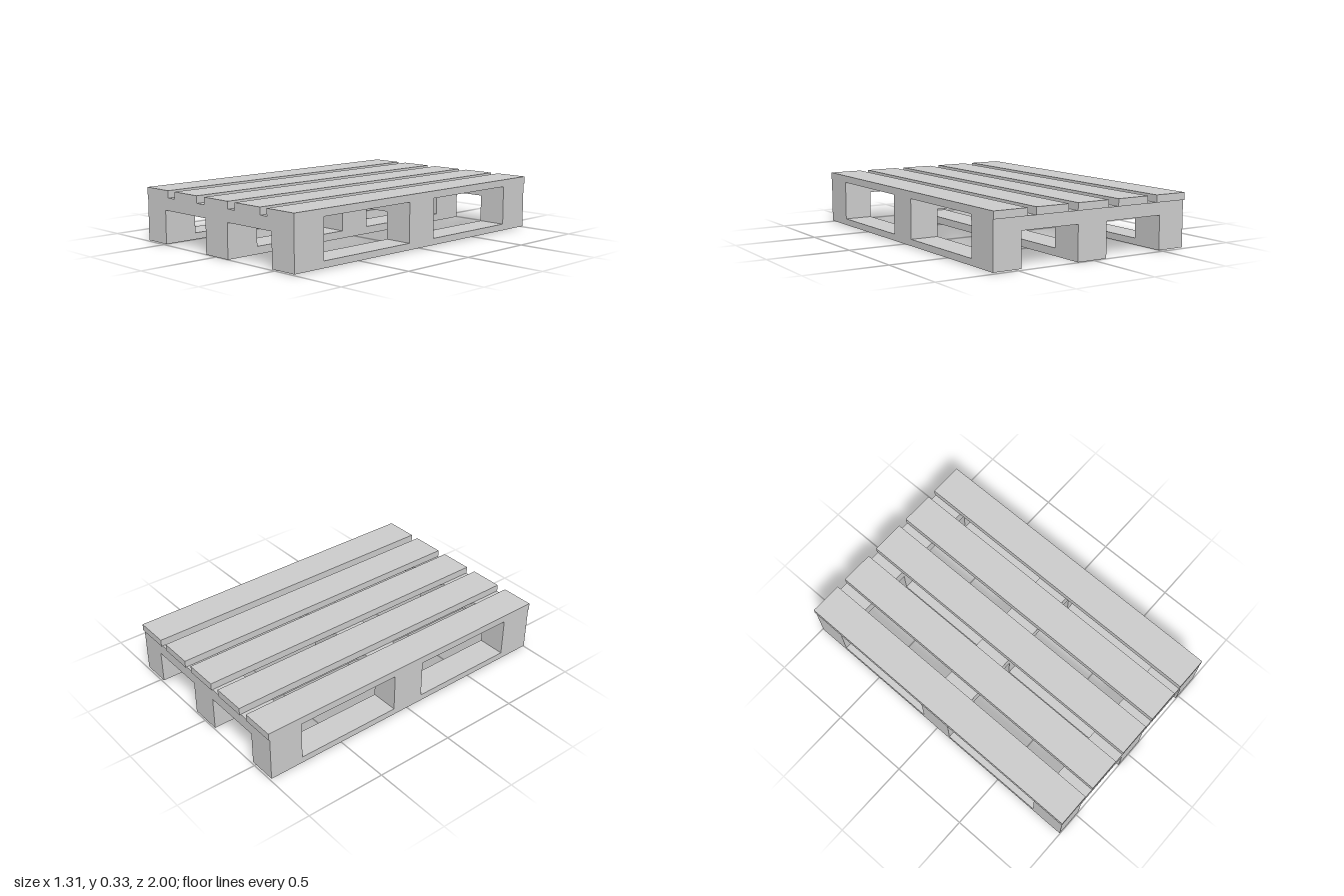
import * as THREE from 'three';

const material = new THREE.MeshStandardMaterial({ color: 0xcccccc, flatShading: true });

// Box given by its [min, max] range on each axis
function addBox(parent, name, [x0, x1], [y0, y1], [z0, z1]) {
  const mesh = new THREE.Mesh(new THREE.BoxGeometry(x1 - x0, y1 - y0, z1 - z0), material);
  mesh.position.set((x0 + x1) / 2, (y0 + y1) / 2, (z0 + z1) / 2);
  mesh.name = name;
  parent.add(mesh);
}

export function createModel() {
  const pallet = new THREE.Group();
  pallet.name = 'pallet';

  // Five long deck boards
  const deck = new THREE.Group();
  deck.name = 'deck';
  const deckBoards = [[-0.655, -0.445], [-0.38, -0.168], [-0.1, 0.112], [0.173, 0.386], [0.441, 0.655]];
  for (const x of deckBoards) addBox(deck, 'deckBoard', x, [0.286, 0.33], [-1, 1]);

  // Three cross boards carrying the deck
  const crossBoards = new THREE.Group();
  crossBoards.name = 'crossBoards';
  const rows = [[-0.992, -0.78], [-0.107, 0.105], [0.785, 0.998]];
  for (const z of rows) addBox(crossBoards, 'crossBoard', [-0.652, 0.653], [0.21, 0.286], z);

  // Three runners: a bottom board with a spacer block under each cross board
  const runners = [
    { name: 'rightRunner', x: [-0.652, -0.476], bottom: 0.006 },
    { name: 'middleRunner', x: [-0.092, 0.104], bottom: 0 },
    { name: 'leftRunner', x: [0.476, 0.653], bottom: 0.006 },
  ];
  for (const { name, x, bottom } of runners) {
    const runner = new THREE.Group();
    runner.name = name;
    addBox(runner, 'bottomBoard', x, [bottom, 0.046], [-0.992, 0.998]);
    for (const z of rows) addBox(runner, 'spacerBlock', x, [0.046, 0.21], z);
    pallet.add(runner);
  }

  pallet.add(deck, crossBoards);
  return pallet;
}
